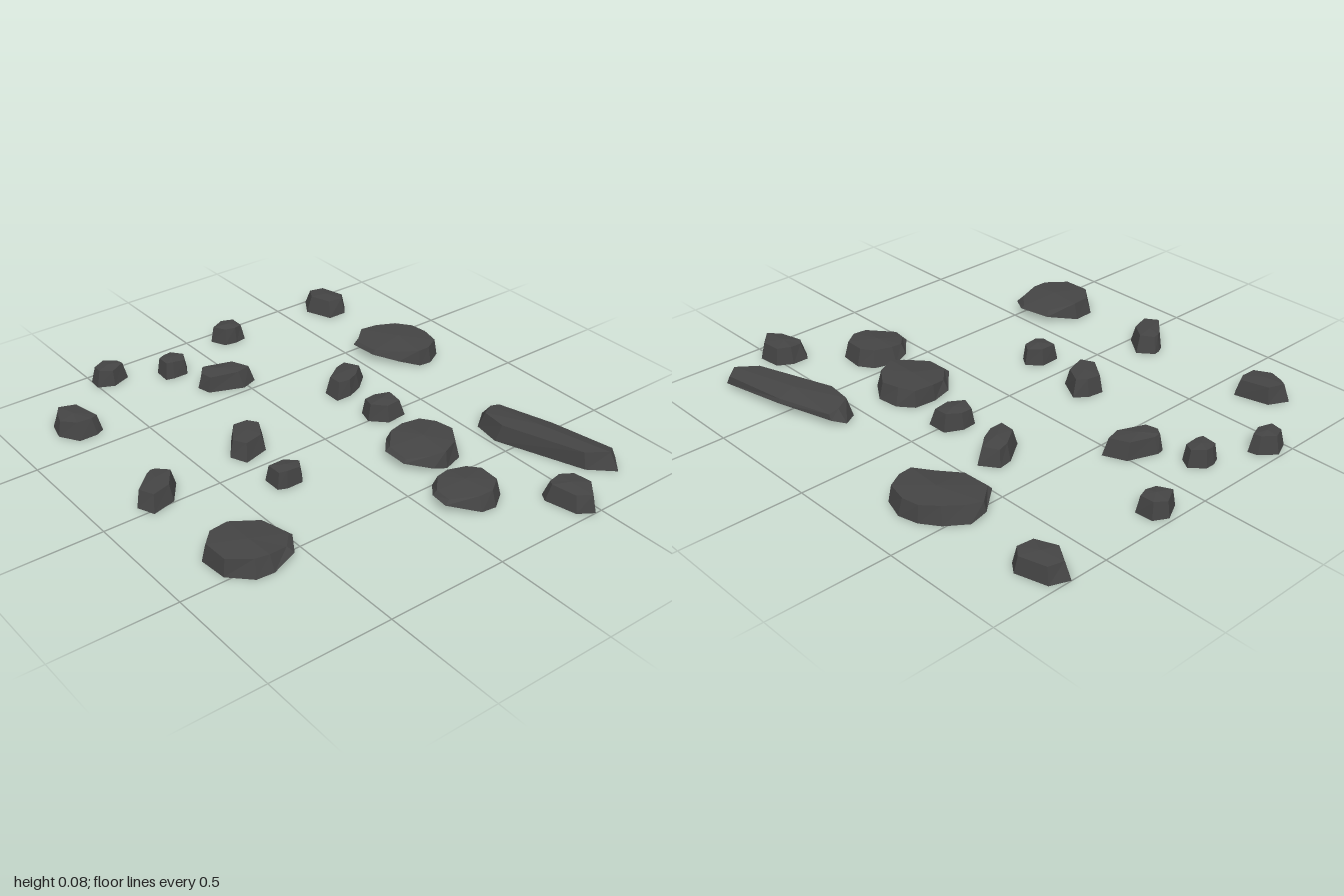
import * as THREE from 'three';

const HEIGHT = 0.074;

export function createModel() {
  const group = new THREE.Group();
  const rock = new THREE.MeshStandardMaterial({ color: 0x444444, flatShading: true, side: THREE.DoubleSide });
  rock.name = 'dark rock';

  let seed = 7;
  const rand = () => (seed = (seed * 16807) % 2147483647) / 2147483647;

  // A stone is an open-bottomed shell: a rim following the outline [x, z], a smaller top ring
  // and a top centre. lift: slope [x, z] by which one side of the rim rises off the ground
  function stone(name, outline, { top, lift = [0, 0] }) {
    const n = outline.length;
    const cx = outline.reduce((s, p) => s + p[0], 0) / n;
    const cz = outline.reduce((s, p) => s + p[1], 0) / n;
    const rim = [], ring = [], index = [];
    outline.forEach(([x, z], i) => {
      const dx = x - cx, dz = z - cz;
      const raised = THREE.MathUtils.clamp(dx * lift[0] + dz * lift[1], 0, 0.04);
      const t = top + (rand() - 0.5) * 0.12;
      rim.push(dx, raised, dz);
      ring.push(dx * t, HEIGHT - 0.008 * rand() - 0.4 * raised, dz * t);
      const j = (i + 1) % n;
      index.push(j, i, n + i, j, n + i, n + j, 2 * n, n + j, n + i);
    });
    const geometry = new THREE.BufferGeometry();
    geometry.setAttribute('position', new THREE.Float32BufferAttribute([...rim, ...ring, 0, HEIGHT + 0.003, 0], 3));
    geometry.setIndex(index);
    geometry.computeVertexNormals();
    const mesh = new THREE.Mesh(geometry, rock);
    mesh.name = name;
    mesh.position.set(cx, 0, cz);
    group.add(mesh);
  }

  const small = { top: 0.8 };

  // Broad slabs, each tilted up on one side
  stone('backSlab', [[-.55, -.69], [-.49, -.77], [-.42, -.82], [-.34, -.84], [-.25, -.81], [-.21, -.74],
    [-.21, -.68], [-.27, -.61], [-.36, -.54], [-.48, -.53], [-.55, -.62]], { top: 0.9, lift: [0, 0.25] });
  stone('longSlab', [[.25, -.61], [.28, -.66], [.52, -.735], [.81, -.78], [.865, -.74], [.78, -.65],
    [.42, -.52], [.3, -.54]], { top: 0.9, lift: [-0.12, -0.45] });
  stone('middleSlab', [[.17, -.24], [.18, -.33], [.24, -.38], [.33, -.39], [.42, -.33], [.45, -.24],
    [.44, -.18], [.37, -.09], [.26, -.09], [.17, -.17]], { top: 0.88, lift: [0, 0.28] });
  stone('sideSlab', [[.51, -.16], [.54, -.25], [.6, -.29], [.7, -.28], [.75, -.21], [.75, -.14],
    [.67, -.03], [.59, -.04], [.52, -.1]], { top: 0.82, lift: [0, 0.3] });
  stone('frontSlab', [[.285, .67], [.34, .54], [.47, .51], [.55, .56], [.57, .66], [.56, .73],
    [.48, .81], [.36, .82], [.29, .76]], { top: 0.88, lift: [0, -0.27] });

  // Small stones, from back to front
  stone('backCornerStone', [[-1, -.66], [-.97, -.735], [-.845, -.77], [-.8, -.735], [-.8, -.65], [-.915, -.605]], small);
  stone('leftEdgeStone', [[.795, -.47], [.83, -.53], [.925, -.54], [1, -.47], [.96, -.41], [.83, -.38], [.795, -.4]], small);
  stone('wedgeStone', [[-.36, -.38], [-.29, -.43], [-.23, -.36], [-.2, -.29], [-.2, -.22], [-.28, -.22], [-.35, -.32]], small);
  stone('centrePebble', [[-.07, -.3], [-.035, -.37], [.05, -.37], [.06, -.28], [0, -.22], [-.065, -.24]], small);
  stone('rightEdgePebble', [[-.985, -.17], [-.955, -.225], [-.88, -.23], [-.87, -.18], [-.88, -.125], [-.945, -.095]], small);
  stone('slimStone', [[-.685, .11], [-.64, -.01], [-.55, -.05], [-.525, .02], [-.58, .16], [-.64, .175], [-.68, .14]], small);
  stone('rightInnerPebble', [[-.87, .165], [-.82, .115], [-.77, .145], [-.77, .21], [-.78, .245], [-.855, .24], [-.87, .205]], small);
  stone('centreStone', [[-.23, .29], [-.22, .22], [-.18, .175], [-.08, .23], [-.05, .34], [-.12, .37]], small);
  stone('leftPebble', [[.085, .27], [.14, .22], [.185, .25], [.185, .32], [.17, .355], [.09, .355]], small);
  stone('rightFrontPebble', [[-.99, .43], [-.94, .37], [-.9, .36], [-.87, .44], [-.9, .505], [-.96, .5]], small);
  stone('frontCornerStone', [[-.78, .77], [-.74, .69], [-.6, .655], [-.58, .69], [-.58, .77], [-.66, .82], [-.74, .8]], small);
  stone('frontStone', [[-.155, .71], [-.16, .68], [-.1, .63], [-.005, .7], [.02, .8], [-.05, .83], [-.14, .74]], small);

  return group;
}
